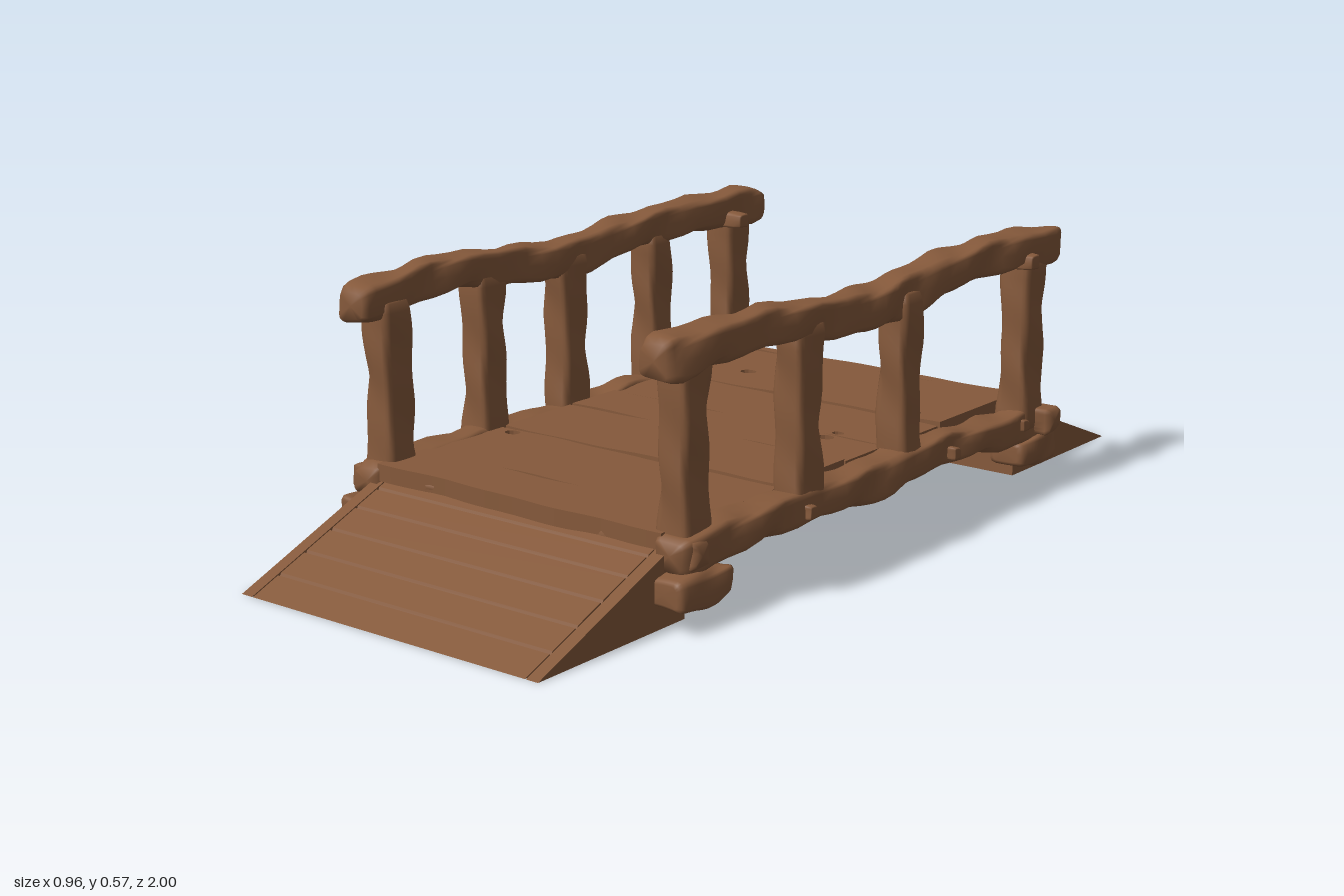
import * as THREE from 'three';

const wood = new THREE.MeshStandardMaterial({ color: 0x85593b });
wood.name = 'brown wood';

function add(parent, name, geometry) {
  const mesh = new THREE.Mesh(geometry, wood);
  mesh.name = name;
  parent.add(mesh);
  return mesh;
}

// Worn squared log along an axis. Stations are [t, a, b, widthA, widthB], with
// (a, b, t) = (x, y, z) for axis z, (z, x, y) for axis y, (y, z, x) for axis x.
function logGeometry(axis, stations, seed = 0, wear = 0.003) {
  const sides = 20, steps = 8 * (stations.length - 1);
  const path = new THREE.CatmullRomCurve3(stations.map(s => new THREE.Vector3(s[1], s[2], s[0])));
  const size = new THREE.CatmullRomCurve3(stations.map(s => new THREE.Vector3(s[3], s[4], 0)));
  const rings = [[0, 0.001], [0, 0.72], [0.012, 0.92]];
  for (let i = 1; i < steps; i++) rings.push([i / steps, 1]);
  rings.push([0.988, 0.92], [1, 0.72], [1, 0.001]);
  rings.sort((p, q) => p[0] - q[0] || 0);
  const pos = [], index = [];
  const soft = v => Math.sign(v) * Math.pow(Math.abs(v), 0.42);
  rings.forEach(([u, k], r) => {
    const c = path.getPoint(u), w = size.getPoint(u);
    for (let j = 0; j < sides; j++) {
      const ang = (j / sides) * Math.PI * 2;
      const n = wear * (Math.sin(ang * 3 + c.z * 23 + seed) + Math.sin(c.z * 41 + ang * 2 + seed * 2.3));
      const a = c.x + k * soft(Math.cos(ang)) * (w.x / 2 + n);
      const b = c.y + k * soft(Math.sin(ang)) * (w.y / 2 + n);
      if (axis === 'z') pos.push(a, b, c.z);
      else if (axis === 'y') pos.push(b, c.z, a);
      else pos.push(c.z, a, b);
      if (r < rings.length - 1) {
        const p = r * sides + j, q = r * sides + (j + 1) % sides;
        index.push(p, q, p + sides, q, q + sides, p + sides);
      }
    }
  });
  const g = new THREE.BufferGeometry();
  g.setAttribute('position', new THREE.Float32BufferAttribute(pos, 3));
  g.setIndex(index);
  g.computeVertexNormals();
  return g;
}

// Deck board with uneven long edges and optional knot holes [x, z, radius]
function plankGeometry(z0, z1, seed, holes) {
  const shape = new THREE.Shape(), n = 20, half = 0.365;
  const wobble = (x, s) => 0.003 * Math.sin(x * 13 + s) + 0.002 * Math.sin(x * 31 + s * 2);
  for (let i = 0; i <= n; i++) {
    const x = -half + 2 * half * i / n, y = -z1 + wobble(x, seed);
    if (i) shape.lineTo(x, y); else shape.moveTo(x, y);
  }
  for (let i = n; i >= 0; i--) {
    const x = -half + 2 * half * i / n;
    shape.lineTo(x, -z0 + wobble(x, seed + 2));
  }
  shape.closePath();
  for (const [x, z, r] of holes) {
    const hole = new THREE.Path();
    hole.absellipse(x, -z, r, r * 0.8, 0, Math.PI * 2, true);
    shape.holes.push(hole);
  }
  return new THREE.ExtrudeGeometry(shape, { depth: 0.036, bevelEnabled: false, curveSegments: 6 })
    .rotateX(-Math.PI / 2);
}

// Wedge slice of a ramp from x0 to x1, with shallow grooves across the slope
function rampGeometry(x0, x1, grooves) {
  const slope = z => (1 - z) * 0.4;
  const s = new THREE.Shape();
  s.moveTo(-0.59, 0);
  s.lineTo(-1, 0);
  for (const z of grooves) {
    s.lineTo(-z - 0.004, slope(z + 0.004));
    s.lineTo(-z, slope(z) - 0.006);
    s.lineTo(-z + 0.004, slope(z - 0.004));
  }
  s.lineTo(-0.61, slope(0.61));
  s.lineTo(-0.59, slope(0.61));
  s.closePath();
  return new THREE.ExtrudeGeometry(s, { depth: x1 - x0, bevelEnabled: false })
    .rotateY(Math.PI / 2).translate(x0, 0, 0);
}

export function createModel() {
  const bridge = new THREE.Group();
  bridge.name = 'footbridge';

  // Ramps: grooved middle between two plain edge strips
  for (const front of [true, false]) {
    const ramp = new THREE.Group();
    ramp.name = front ? 'frontRamp' : 'backRamp';
    const grooves = front ? [0.93, 0.86, 0.79, 0.72, 0.66] : [0.935];
    add(ramp, 'rampBoards', rampGeometry(-0.349, 0.349, grooves));
    const gap = front ? 0.352 : 0.349;
    add(ramp, 'rampEdgeLeft', rampGeometry(gap, 0.38, []));
    add(ramp, 'rampEdgeRight', rampGeometry(-0.38, -gap, []));
    if (!front) ramp.rotation.y = Math.PI;
    bridge.add(ramp);
  }

  // Deck boards
  const deck = new THREE.Group();
  deck.name = 'deck';
  const cuts = [-0.64, -0.603, -0.303, -0.1, 0.048, 0.272, 0.505, 0.645];
  const holes = { 1: [[-0.23, -0.42, 0.02]], 2: [[0.23, -0.122, 0.014]], 3: [[0.23, -0.075, 0.02]], 5: [[-0.315, 0.295, 0.018]] };
  for (let i = 0; i < cuts.length - 1; i++) {
    const board = add(deck, 'deckBoard', plankGeometry(cuts[i] + 0.003, cuts[i + 1] - 0.003, i * 1.7, holes[i] || []));
    board.position.y = 0.143 + 0.002 * Math.sin(i * 2.1);
    board.rotation.z = 0.006 * Math.sin(i * 1.9);
  }
  bridge.add(deck);

  // Each side: handrail, lower beam, posts, feet and pegs
  const sides = [
    {
      name: 'leftSide', s: 1,
      rail: [[0.68, 0.382, 0.512, 0.09, 0.085], [0.4, 0.395, 0.525, 0.075, 0.07], [0.05, 0.388, 0.493, 0.075, 0.08],
        [-0.13, 0.382, 0.502, 0.08, 0.085], [-0.35, 0.395, 0.53, 0.08, 0.07], [-0.68, 0.403, 0.52, 0.085, 0.085]],
      posts: [[0.585, 0.378, 0.085], [0.25, 0.395, 0.085], [-0.115, 0.388, 0.08], [-0.575, 0.403, 0.09]]
    },
    {
      name: 'rightSide', s: -1,
      rail: [[0.68, -0.388, 0.508, 0.085, 0.08], [0.4, -0.395, 0.53, 0.07, 0.07], [0.05, -0.4, 0.5, 0.075, 0.08],
        [-0.25, -0.405, 0.525, 0.08, 0.07], [-0.68, -0.415, 0.52, 0.09, 0.085]],
      posts: [[0.585, -0.383, 0.085], [0.29, -0.398, 0.08], [0.025, -0.4, 0.085], [-0.28, -0.405, 0.08], [-0.575, -0.408, 0.085]]
    }
  ];
  for (const { name, s, rail, posts } of sides) {
    const side = new THREE.Group();
    side.name = name;
    add(side, 'handrail', logGeometry('z', [...rail].reverse(), s));
    add(side, 'lowerBeam', logGeometry('z', [
      [-0.645, s * 0.4, 0.13, 0.085, 0.075], [-0.45, s * 0.4, 0.132, 0.08, 0.07], [-0.2, s * 0.397, 0.15, 0.08, 0.07],
      [0, s * 0.393, 0.137, 0.085, 0.075], [0.3, s * 0.395, 0.148, 0.08, 0.065], [0.65, s * 0.392, 0.14, 0.09, 0.075]], s + 3));
    posts.forEach(([z, x, w], i) => add(side, 'post', logGeometry('y', [
      [0.12, z, x, w + 0.006, 0.08], [0.32, z + 0.003 * s, x, w - 0.006, 0.068], [0.51, z, x, w + 0.004, 0.074]], i * 2 + s, 0.002)));
    // Stubby feet under both ends
    for (const e of [1, -1]) {
      add(side, 'foot', logGeometry('z', [[-0.08, s * 0.398, 0.074, 0.085, 0.06],
        [0, s * 0.402, 0.07, 0.095, 0.078], [0.08, s * 0.4, 0.074, 0.085, 0.06]], e + s)).position.z = e * 0.598;
    }
    // Pegs through the rail and beam
    for (const z of [-0.53, -0.25, 0.27]) {
      add(side, 'beamPeg', logGeometry('x', [[-0.03, 0, 0, 0.03, 0.03], [0.03, 0, 0, 0.026, 0.026]], z, 0.001))
        .position.set(s * 0.418, 0.14, z);
    }
    add(side, 'railPeg', logGeometry('x', [[-0.066, 0, 0, 0.035, 0.035], [0.066, 0, 0, 0.035, 0.035]], 1, 0.001))
      .position.set(s * 0.392, 0.505, -0.53);
    bridge.add(side);
  }

  // Cross bars tying the two beams at each end
  add(bridge, 'backCrossBar', logGeometry('x', [[-0.48, 0.142, -0.6, 0.06, 0.06], [0, 0.135, -0.6, 0.05, 0.05], [0.478, 0.142, -0.6, 0.06, 0.06]], 1));
  add(bridge, 'frontCrossBar', logGeometry('x', [[-0.45, 0.14, 0.61, 0.055, 0.055], [0, 0.135, 0.61, 0.04, 0.05], [0.44, 0.14, 0.61, 0.055, 0.055]], 4));

  return bridge;
}
